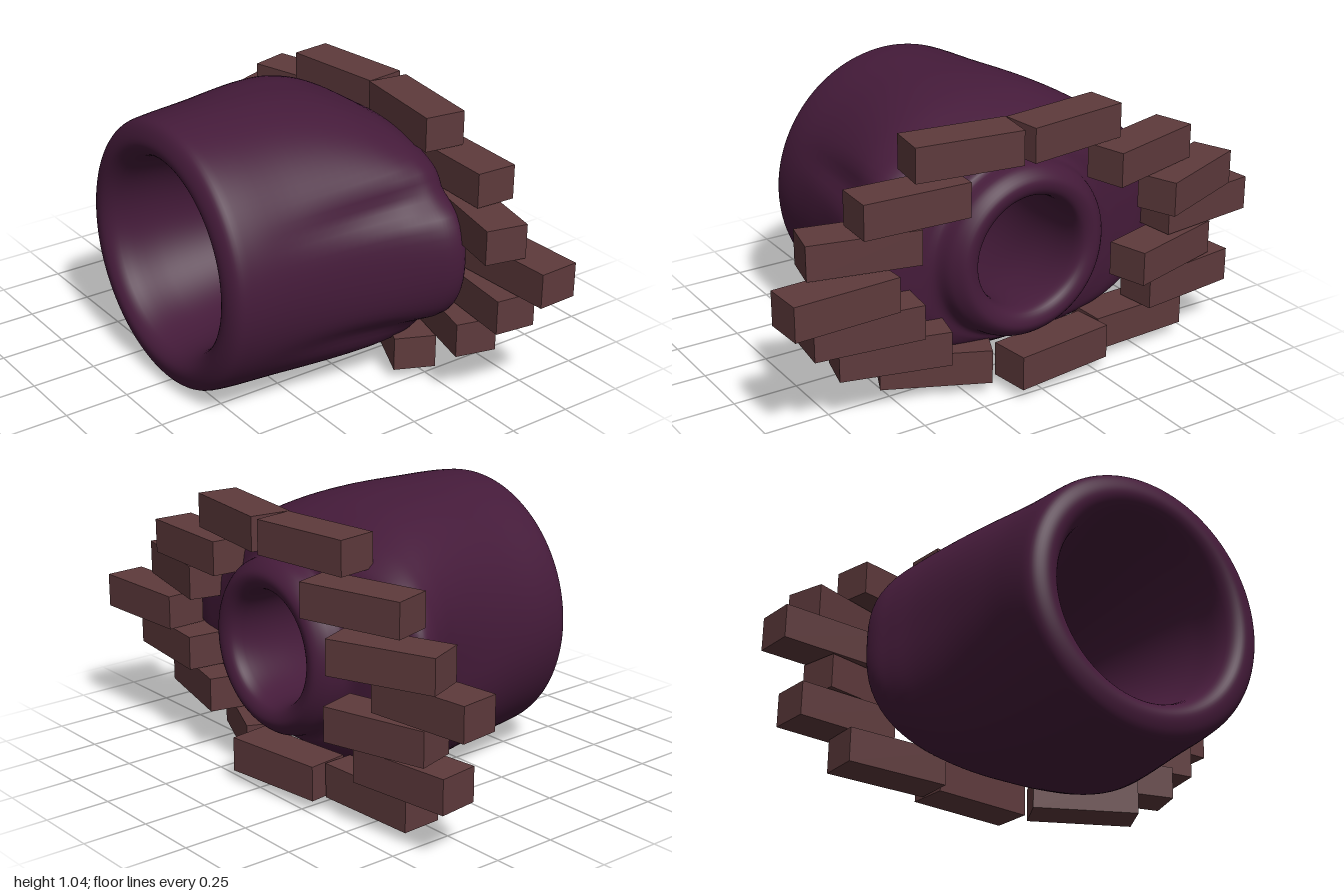
import * as THREE from 'three';

const CY = 0.523, CZ = 0.015;

// Hollow body: cross-sections lofted along x, out over the shell, round the rim and back through the bore
function bodyGeometry() {
  // [x, half height, half depth]
  const sections = [
    [-0.6, 0.41, 0.41], [-0.6, 0.455, 0.455], [-0.57, 0.502, 0.495], [-0.5, 0.516, 0.51],
    [-0.3, 0.522, 0.525], [-0.1, 0.518, 0.55], [0.05, 0.497, 0.588], [0.15, 0.465, 0.63],
    [0.22, 0.435, 0.66], [0.27, 0.405, 0.66], [0.31, 0.38, 0.6], [0.34, 0.36, 0.45],
    [0.36, 0.34, 0.36], [0.42, 0.325, 0.325], [0.46, 0.28, 0.28], [0.445, 0.23, 0.23],
    [0.4, 0.213, 0.213], [0.2, 0.22, 0.22], [-0.1, 0.28, 0.28], [-0.4, 0.345, 0.345], [-0.56, 0.372, 0.372],
  ];
  const path = new THREE.CatmullRomCurve3(sections.map(s => new THREE.Vector3(...s)), true, 'centripetal');
  const rows = sections.length * 5, cols = 112;
  const pos = [], index = [];
  for (let i = 0; i < rows; i++) {
    const t = i / rows, p = path.getPoint(t), sec = t * sections.length;
    // The round shell grows squarer and grooved toward the flared end, the rim and bore stay round
    const k = THREE.MathUtils.smoothstep(p.x, -0.5, 0.2) *
      (1 - THREE.MathUtils.smoothstep(sec, 9.5, 12));
    for (let j = 0; j < cols; j++) {
      const a = j / cols * Math.PI * 2, c = Math.cos(a), s = Math.sin(a);
      const n = 2 + k * (c < 0 ? 0.7 : 0.25) * Math.min(1, Math.abs(c) * 3);
      const r = Math.pow(Math.pow(Math.abs(c) / p.z, n) + Math.pow(Math.abs(s) / p.y, n), -1 / n);
      // Two soft grooves on the front side
      const d = a > Math.PI ? a - 2 * Math.PI : a;
      const groove = Math.exp(-(((d - 0.42) / 0.1) ** 2)) + Math.exp(-(((d + 0.53) / 0.13) ** 2));
      const rr = r - 0.035 * k * groove;
      pos.push(p.x, CY + rr * s, CZ + rr * c);
      const i2 = (i + 1) % rows, j2 = (j + 1) % cols;
      const A = i * cols + j, B = i2 * cols + j, C = i2 * cols + j2, D = i * cols + j2;
      index.push(A, B, C, A, C, D);
    }
  }
  const g = new THREE.BufferGeometry();
  g.setAttribute('position', new THREE.Float32BufferAttribute(pos, 3));
  g.setIndex(index);
  g.computeVertexNormals();
  return g;
}

export function createModel() {
  const model = new THREE.Group();
  model.name = 'brickRingedTube';

  const body = new THREE.Mesh(bodyGeometry(), new THREE.MeshStandardMaterial({ color: 0x451b3a }));
  body.name = 'body';
  model.add(body);

  // Ring of bricks in seven courses: each brick is [x, z, x drift along its length]
  const courses = [
    [[0.275, 0.325, -0.17], [0.435, -0.085, 0.05], [0.34, -0.5, 0.02]],
    [[0.335, 0.54, -0.1], [0.37, -0.7, 0.05]],
    [[0.37, 0.67, -0.05], [0.405, -0.6, 0.11]],
    [[0.417, 0.79, 0.015], [0.36, -0.785, 0.047]],
    [[0.34, 0.66, -0.09], [0.445, -0.67, 0.15]],
    [[0.39, 0.493, -0.02], [0.41, -0.48, 0.11]],
    [[0.362, 0.26, -0.055], [0.368, -0.168, 0.053]],
  ];
  const length = 0.41;
  const brickGeo = new THREE.BoxGeometry(0.158, 0.131, length);
  const brickMat = new THREE.MeshStandardMaterial({ color: 0x5e3a3c });
  const bricks = new THREE.Group();
  bricks.name = 'brickRing';
  courses.forEach((course, row) => course.forEach(([x, z, drift], n) => {
    const brick = new THREE.Mesh(brickGeo, brickMat);
    brick.name = `brick${row + 1}_${n + 1}`;
    brick.position.set(x, 0.109 + row * 0.1395, z);
    brick.rotation.y = Math.asin(drift / length);
    bricks.add(brick);
  }));
  model.add(bricks);
  return model;
}
